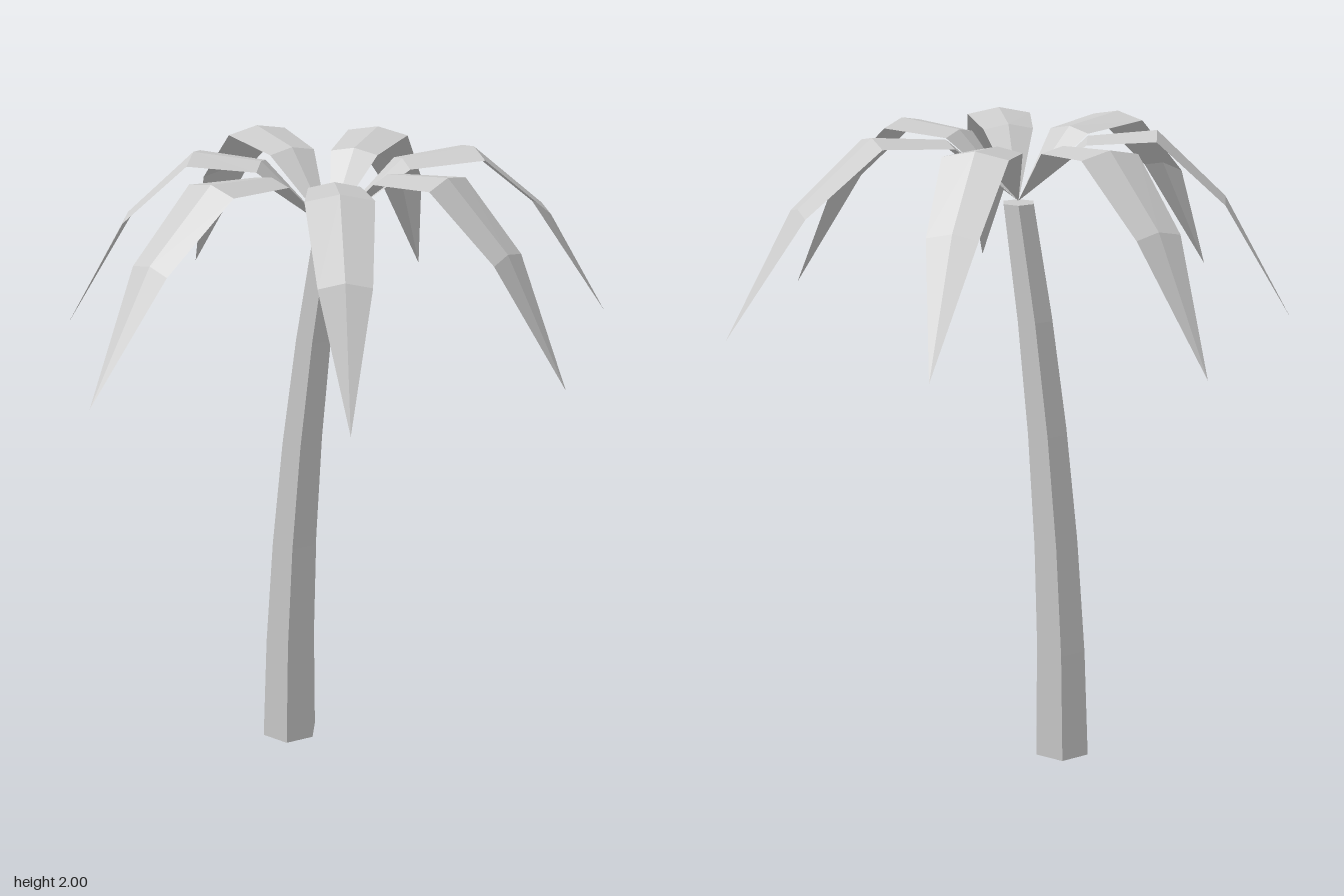
import * as THREE from 'three';

const CROWN = { x: 0, y: 1.78, z: -0.047 };
const TRUNK_HEIGHT = 1.775;

// Six-sided tapered trunk, leaning over along a parabola
function trunkGeometry() {
  const geo = new THREE.CylinderGeometry(0.052, 0.095, TRUNK_HEIGHT, 6, 5);
  geo.rotateY(Math.PI / 2);
  geo.translate(0, TRUNK_HEIGHT / 2, 0);
  const pos = geo.attributes.position;
  for (let i = 0; i < pos.count; i++) {
    const t = pos.getY(i) / TRUNK_HEIGHT;
    pos.setX(i, pos.getX(i) - 0.16 * (1 - t * t));
  }
  const flat = geo.toNonIndexed();
  flat.computeVertexNormals();
  return flat;
}

// Arching frond along +x: a raised spine with two lowered edges
function frondGeometry(length) {
  // spine height above the crown, half width, edge drop
  const stations = [
    [0, 0, 0],
    [0.2, 0.077, 0.016],
    [0.22, 0.1, 0.02],
    [0.025, 0.077, 0.016],
    [-0.348, 0, 0],
  ];
  const verts = [];
  stations.forEach(([h, w, drop], i) => {
    const x = (length * i) / 4;
    verts.push(x, h - drop, -w, x, h, 0, x, h - drop, w);
  });
  const index = [];
  for (let i = 0; i < 4; i++) {
    for (let s = 0; s < 2; s++) {
      const a = i * 3 + s, b = a + 1, c = a + 3, d = a + 4;
      if (i === 0) index.push(a, d, c);
      else if (i === 3) index.push(a, b, c);
      else index.push(a, b, d, a, d, c);
    }
  }
  const geo = new THREE.BufferGeometry();
  geo.setAttribute('position', new THREE.Float32BufferAttribute(verts, 3));
  geo.setIndex(index);
  const flat = geo.toNonIndexed();
  flat.computeVertexNormals();
  return flat;
}

export function createModel() {
  const model = new THREE.Group();
  model.name = 'palmTree';
  const grey = new THREE.MeshStandardMaterial({
    color: 0xcccccc, flatShading: true, side: THREE.DoubleSide,
  });
  grey.name = 'lightGrey';

  const trunk = new THREE.Mesh(trunkGeometry(), grey);
  trunk.name = 'trunk';
  trunk.position.set(0, 0, CROWN.z);
  model.add(trunk);

  // Seven fronds, alternately short and long
  const fronds = new THREE.Group();
  fronds.name = 'fronds';
  fronds.position.set(CROWN.x, CROWN.y, CROWN.z);
  const shortFrond = frondGeometry(0.83);
  const longFrond = frondGeometry(0.92);
  for (let i = 0; i < 7; i++) {
    const frond = new THREE.Mesh(i % 2 ? longFrond : shortFrond, grey);
    frond.name = 'frond' + (i + 1);
    frond.rotation.y = (i * Math.PI * 2) / 7;
    fronds.add(frond);
  }
  model.add(fronds);
  return model;
}
